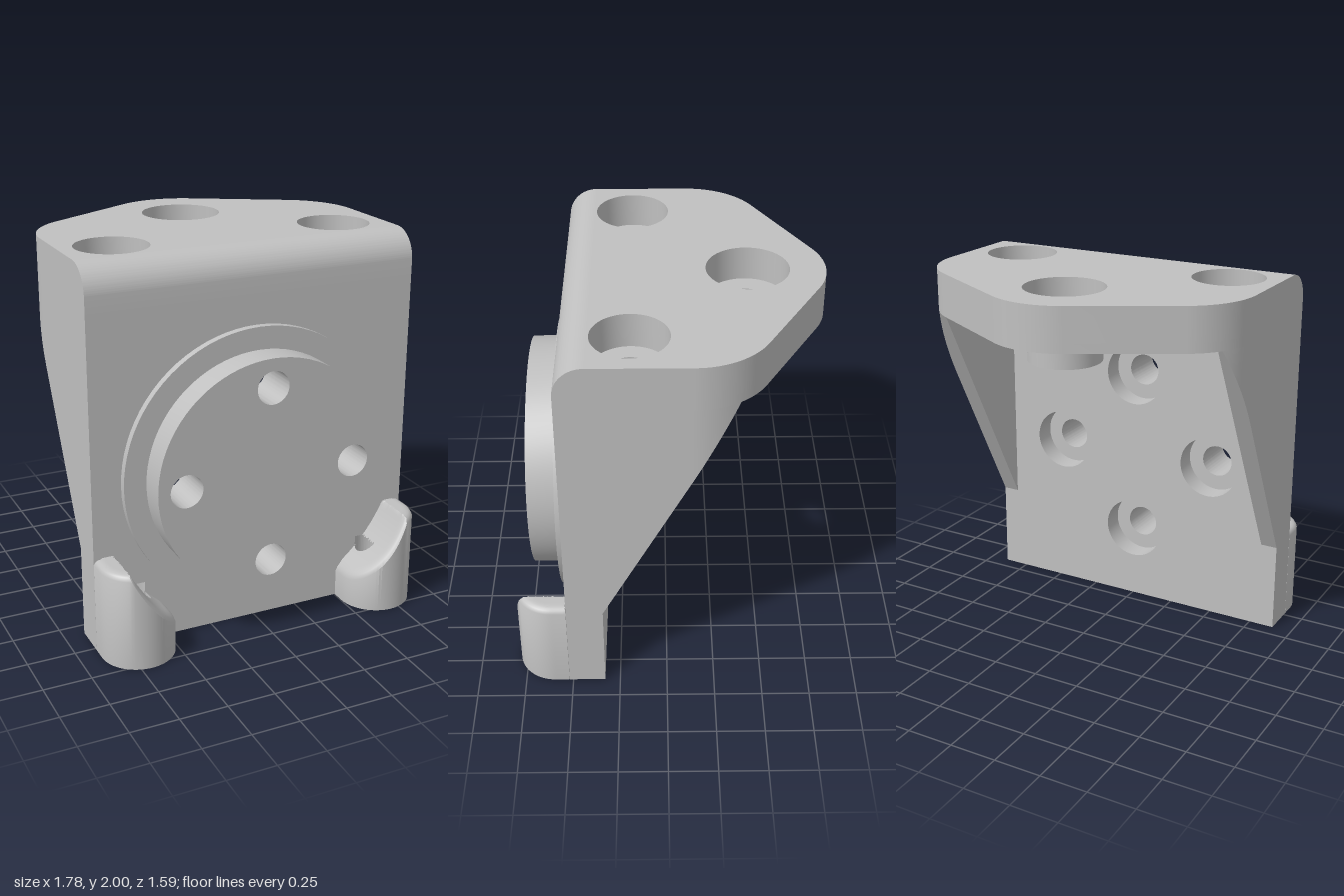
import * as THREE from 'three';
import { toCreasedNormals } from 'three/addons/utils/BufferGeometryUtils.js';

const W = 0.89, PLATE_BOTTOM = 1.77, AXIS_Y = 0.88;

export function createModel() {
  const group = new THREE.Group();
  const metal = new THREE.MeshStandardMaterial({ color: 0xc0c0c0 });

  const add = (name, geo) => {
    const mesh = new THREE.Mesh(toCreasedNormals(geo, 0.6), metal);
    mesh.name = name;
    group.add(mesh);
  };
  const circle = (x, y, r) => new THREE.Path().absarc(x, y, r, 0, Math.PI * 2, true);
  const disc = (x, y, r) => new THREE.Shape().absarc(x, y, r, 0, Math.PI * 2, false);
  const polygon = (pts) => new THREE.Shape(pts.map(([x, y]) => new THREE.Vector2(x, y)));
  const extrude = (shape, holes, depth) => {
    shape.holes.push(...holes);
    return new THREE.ExtrudeGeometry(shape, { depth, bevelEnabled: false, curveSegments: 40 });
  };
  // Extrusion towards the front, starting at z0
  const facing = (shape, holes, z0, z1) => extrude(shape, holes, z1 - z0).translate(0, 0, z0);
  // Upward extrusion; shape y stands for -z
  const rising = (shape, holes, y0, y1) =>
    extrude(shape, holes, y1 - y0).rotateX(-Math.PI / 2).translate(0, y0, 0);
  // Triangle soup, reversed on the mirrored side
  const soup = (tris, s) => {
    const out = [];
    for (const [a, b, c] of tris)
      for (const p of s > 0 ? [a, b, c] : [a, c, b]) out.push(p[0] * s, p[1], p[2]);
    const g = new THREE.BufferGeometry();
    g.setAttribute('position', new THREE.Float32BufferAttribute(out, 3));
    return g;
  };

  // Front plate: counterbored from behind, with drill notches at the foot
  const boltHoles = (r) => [[0, 1.345], [0, 0.413], [0.465, AXIS_Y], [-0.465, AXIS_Y]]
    .map(([x, y]) => circle(x, y, r));
  const HX = 0.695, HZ = 0.56, HR = 0.085, HTOP = 0.33;
  const a = HX - HR, b = HX + HR;
  add('frontPlateBack', facing(
    polygon([[-W, 0], [W, 0], [W, PLATE_BOTTOM], [-W, PLATE_BOTTOM]]), boltHoles(0.17), 0.33, 0.45));
  add('frontPlateFace', facing(polygon([
    [-W, 0], [-b, 0], [-b, HTOP], [-a, HTOP], [-a, 0], [a, 0], [a, HTOP], [b, HTOP], [b, 0],
    [W, 0], [W, PLATE_BOTTOM], [-W, PLATE_BOTTOM]]), boltHoles(0.087), 0.45, 0.52));
  add('flangeStep', facing(disc(0, AXIS_Y, 0.735), boltHoles(0.087), 0.52, 0.56));
  add('flangeDisc', facing(disc(0, AXIS_Y, 0.617), boltHoles(0.087), 0.56, 0.71));

  // Rounded front edge of the top
  const edge = new THREE.Shape();
  edge.moveTo(-0.37, PLATE_BOTTOM);
  edge.lineTo(-0.37, 2);
  edge.absarc(-0.37, 1.85, 0.15, Math.PI / 2, Math.PI, false);
  edge.lineTo(-0.52, PLATE_BOTTOM);
  add('topFrontEdge', extrude(edge, [], W * 2).rotateY(Math.PI / 2).translate(-W, 0, 0));

  // Top plate with rounded nose and shoulders
  const outline = () => {
    const s = new THREE.Shape();
    s.moveTo(-W, -0.37);
    s.lineTo(W, -0.37);
    s.absarc(0.49, 0.12, 0.4, 0, Math.PI / 3, false);
    s.absarc(0, 0.4, 0.4, Math.PI / 3, Math.PI * 2 / 3, false);
    s.absarc(-0.49, 0.12, 0.4, Math.PI * 2 / 3, Math.PI, false);
    return s;
  };
  const mounts = (nose, side) => [circle(0, 0.41, nose), circle(0.62, -0.17, side), circle(-0.62, -0.17, side)];
  add('topPlateLower', rising(outline(), mounts(0.105, 0.095), PLATE_BOTTOM, 1.82));
  add('topPlateUpper', rising(outline(), mounts(0.21, 0.19), 1.82, 2));
  add('noseBoss', rising(disc(0, 0.41, 0.19), [circle(0, 0.41, 0.105)], 1.63, PLATE_BOTTOM));

  // Side gussets follow the shoulder curve
  const gusset = (s) => {
    const N = 24, rings = [], tris = [];
    for (let i = 0; i <= N; i++) {
      const t = i / N, z = 0.33 - 0.67 * t, y = 0.49 + (PLATE_BOTTOM - 0.49) * t;
      const x = z > -0.12 ? W : 0.49 + Math.sqrt(0.16 - (z + 0.12) ** 2);
      rings.push([[0.8, y, z], [x, y, z], [x, PLATE_BOTTOM, z], [0.8, PLATE_BOTTOM, z]]);
    }
    for (let i = 0; i < N; i++)
      for (let j = 0; j < 4; j++) {
        const k = (j + 1) % 4, p = rings[i], q = rings[i + 1];
        tris.push([p[j], q[j], p[k]], [p[k], q[j], q[k]]);
      }
    return soup(tris, s);
  };

  // Foot lug: rounded footprint, top scooped around the flange, blind hole below
  const LX = 0.697, LZ = 0.597, LR = 0.193;
  const reach = (c, d) => { // distance from hole centre to the footprint edge
    let lo = 0, hi = 0.5;
    for (let i = 0; i < 30; i++) {
      const m = (lo + hi) / 2, x = HX + c * m - LX, z = HZ + d * m;
      const inside = z >= 0.52 && Math.hypot(x, Math.max(0, z - LZ)) <= LR;
      if (inside) lo = m; else hi = m;
    }
    return lo;
  };
  const height = (x, z) => {
    const scoop = AXIS_Y - Math.sqrt(Math.max(0, 0.865 ** 2 - x * x));
    const rim = LR - Math.hypot(x - LX, Math.max(0, z - LZ));
    const u = 1 - Math.min(1, Math.max(0, rim / 0.05));
    return Math.min(scoop, 0.515) - 0.03 * (1 - Math.sqrt(1 - u * u));
  };
  const lug = (s) => {
    const N = 96, IN = 6, OUT = 12, cols = [], tris = [];
    for (let i = 0; i <= N; i++) {
      const ang = (i / N) * Math.PI * 2, c = Math.cos(ang), d = Math.sin(ang);
      const R = reach(c, d), h = Math.min(HR, R), col = [];
      for (let j = 0; j <= IN + OUT; j++) {
        const r = j <= IN ? h * j / IN : h + (R - h) * (j - IN) / OUT;
        col.push([HX + c * r, HZ + d * r]);
      }
      cols.push(col);
    }
    const quad = (p, q, r, t) => tris.push([p, q, r], [p, r, t]);
    const top = ([x, z]) => [x, height(x, z), z];
    const at = ([x, z], y) => [x, y, z];
    for (let i = 0; i < N; i++) {
      const A = cols[i], B = cols[i + 1];
      for (let j = 0; j < IN + OUT; j++) {
        const mid = height((A[j][0] + B[j + 1][0]) / 2, (A[j][1] + B[j + 1][1]) / 2);
        const inHole = j < IN;
        if (!inHole || mid > HTOP) {
          quad(top(A[j]), top(B[j]), top(B[j + 1]), top(A[j + 1]));
          const y = inHole ? HTOP : 0;
          quad(at(A[j], y), at(A[j + 1], y), at(B[j + 1], y), at(B[j], y));
        }
      }
      const e = IN + OUT;
      quad(at(A[e], 0), top(A[e]), top(B[e]), at(B[e], 0));
      const p = A[IN], q = B[IN];
      if (p[1] > 0.521 || q[1] > 0.521)
        quad(at(p, 0), at(q, 0), at(q, Math.min(HTOP, top(q)[1])), at(p, Math.min(HTOP, top(p)[1])));
    }
    return soup(tris, s);
  };

  for (const s of [1, -1]) {
    const side = s > 0 ? 'left' : 'right';
    add(side + 'Gusset', gusset(s));
    add(side + 'FootLug', lug(s));
    // Rounds the drill notch in the plate
    const start = Math.asin(0.04 / HR), x = s * HX;
    const fill = new THREE.Shape();
    fill.moveTo(x - HR, -0.45);
    fill.lineTo(x - HR, -0.52);
    fill.absarc(x, -HZ, HR, Math.PI - start, start, true);
    fill.lineTo(x + HR, -0.52);
    fill.lineTo(x + HR, -0.45);
    add(side + 'DrillWall', rising(fill, [], 0, HTOP));
  }
  return group;
}
